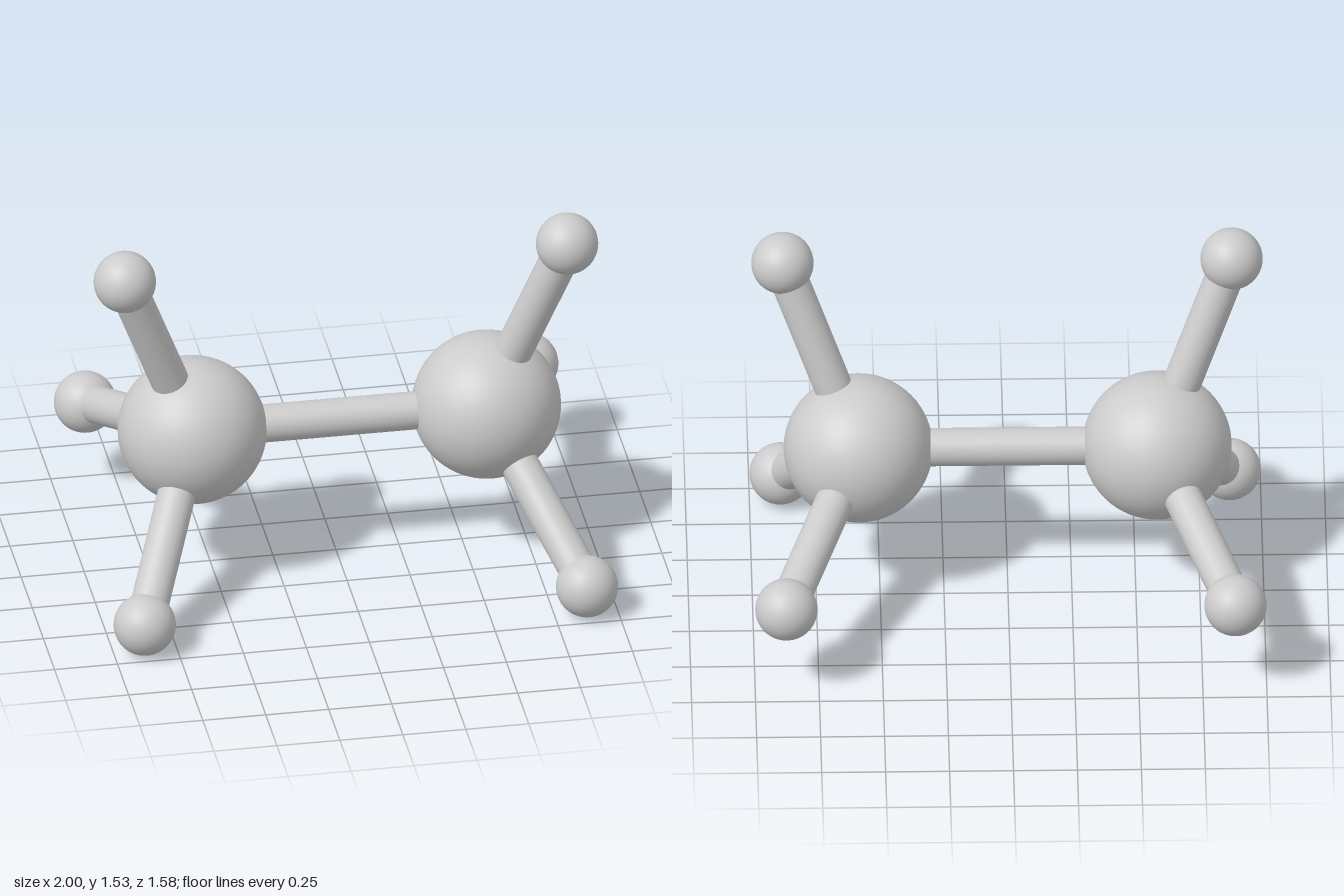
import * as THREE from 'three';

const CORE_R = 0.292, TIP_R = 0.122, ROD_R = 0.075;
const CORE_X = 0.584, TIP_X = 0.878, CENTRE_Y = 0.641, CENTRE_Z = 0.076;
const ARM_REACH = 0.788;   // distance of the outer balls from the long axis
const ARM_START = 0.19;    // tilt of the first arm from vertical, in radians

export function createModel() {
  const model = new THREE.Group();
  model.name = 'ballAndStickModel';
  const material = new THREE.MeshStandardMaterial({ color: 0xcccccc });
  const coreGeometry = new THREE.SphereGeometry(CORE_R, 64, 40);
  const tipGeometry = new THREE.SphereGeometry(TIP_R, 40, 28);

  const addBall = (name, geometry, position, parent) => {
    const ball = new THREE.Mesh(geometry, material);
    ball.name = name;
    ball.position.copy(position);
    parent.add(ball);
  };

  // Straight rod joining two points
  const addRod = (name, a, b, parent) => {
    const span = b.clone().sub(a);
    const rod = new THREE.Mesh(new THREE.CylinderGeometry(ROD_R, ROD_R, span.length(), 40, 1, true), material);
    rod.name = name;
    rod.position.copy(a).add(b).multiplyScalar(0.5);
    rod.quaternion.setFromUnitVectors(new THREE.Vector3(0, 1, 0), span.normalize());
    parent.add(rod);
  };

  // Two mirrored clusters: a large ball with three evenly spaced arms
  const cores = [];
  for (const side of [1, -1]) {
    const cluster = new THREE.Group();
    cluster.name = side > 0 ? 'leftCluster' : 'rightCluster';
    const core = new THREE.Vector3(side * CORE_X, CENTRE_Y, CENTRE_Z);
    cores.push(core);
    addBall('largeBall', coreGeometry, core, cluster);
    ['upper', 'front', 'back'].forEach((label, i) => {
      const angle = ARM_START + i * Math.PI * 2 / 3;
      const tip = new THREE.Vector3(
        side * TIP_X,
        CENTRE_Y + ARM_REACH * Math.cos(angle),
        CENTRE_Z + ARM_REACH * Math.sin(angle));
      addRod(label + 'Rod', core, tip, cluster);
      addBall(label + 'SmallBall', tipGeometry, tip, cluster);
    });
    model.add(cluster);
  }

  // Central connecting rod
  addRod('centralRod', cores[1], cores[0], model);
  return model;
}
